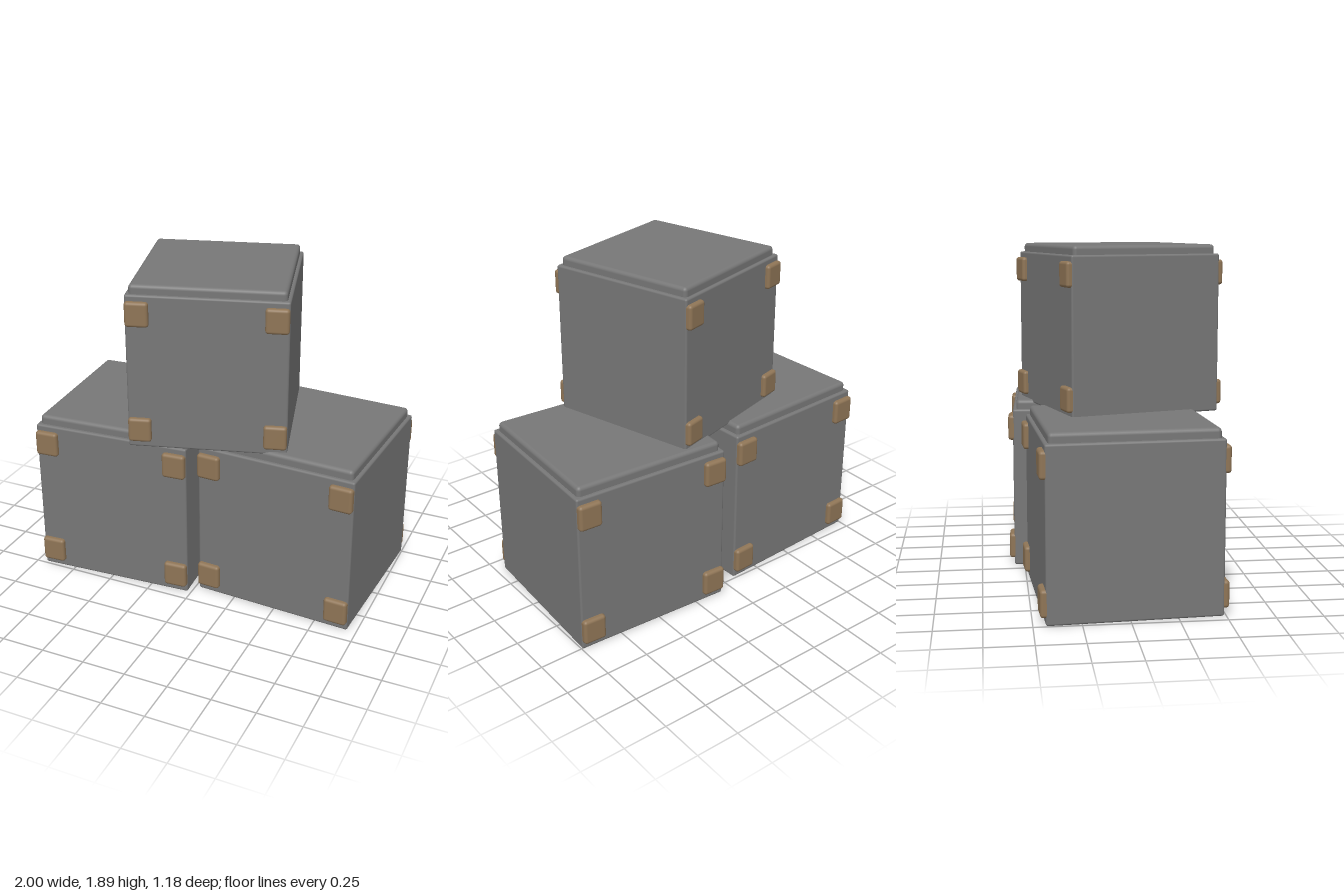
import * as THREE from 'three';
import { RoundedBoxGeometry } from 'three/addons/geometries/RoundedBoxGeometry.js';

const SIZE = 0.926, HEIGHT = 0.932;

export function createModel() {
  const grey = new THREE.MeshStandardMaterial({ color: 0x777777 });
  grey.name = 'crate grey';
  const brown = new THREE.MeshStandardMaterial({ color: 0x8f7556 });
  brown.name = 'corner brown';

  const bodyGeo = new RoundedBoxGeometry(SIZE, HEIGHT, SIZE, 2, 0.012);
  const lidGeo = new RoundedBoxGeometry(0.886, 0.08, 0.886, 3, 0.022);
  const padGeo = new RoundedBoxGeometry(0.135, 0.147, 0.06, 3, 0.018);

  function part(parent, name, geometry, material, x, y, z) {
    const mesh = new THREE.Mesh(geometry, material);
    mesh.name = name;
    mesh.position.set(x, y, z);
    parent.add(mesh);
  }

  // One crate: body, raised lid, and four corner pads on front and back
  function crate(name, x, y, z, turn, scale) {
    const group = new THREE.Group();
    group.name = name;
    part(group, 'body', bodyGeo, grey, 0, HEIGHT / 2, 0);
    part(group, 'lid', lidGeo, grey, 0, 0.945, 0);
    for (const side of [1, -1])
      for (const sx of [-1, 1])
        for (const sy of [-1, 1])
          part(group, side > 0 ? 'frontCornerPad' : 'backCornerPad', padGeo, brown,
            sx * 0.393, HEIGHT / 2 + 0.003 + sy * 0.355, side * (SIZE / 2 - 0.002));
    group.position.set(x, y, z);
    group.rotation.y = turn;
    group.scale.setScalar(scale);
    return group;
  }

  const model = new THREE.Group();
  model.name = 'crateStack';
  model.add(
    crate('rightCrate', -0.51, 0, 0, 0.06, 1),
    crate('leftCrate', 0.51, 0, -0.072, -0.055, 1),
    crate('topCrate', 0, 0.967, 0.035, 0.28, 0.933),
  );
  return model;
}
